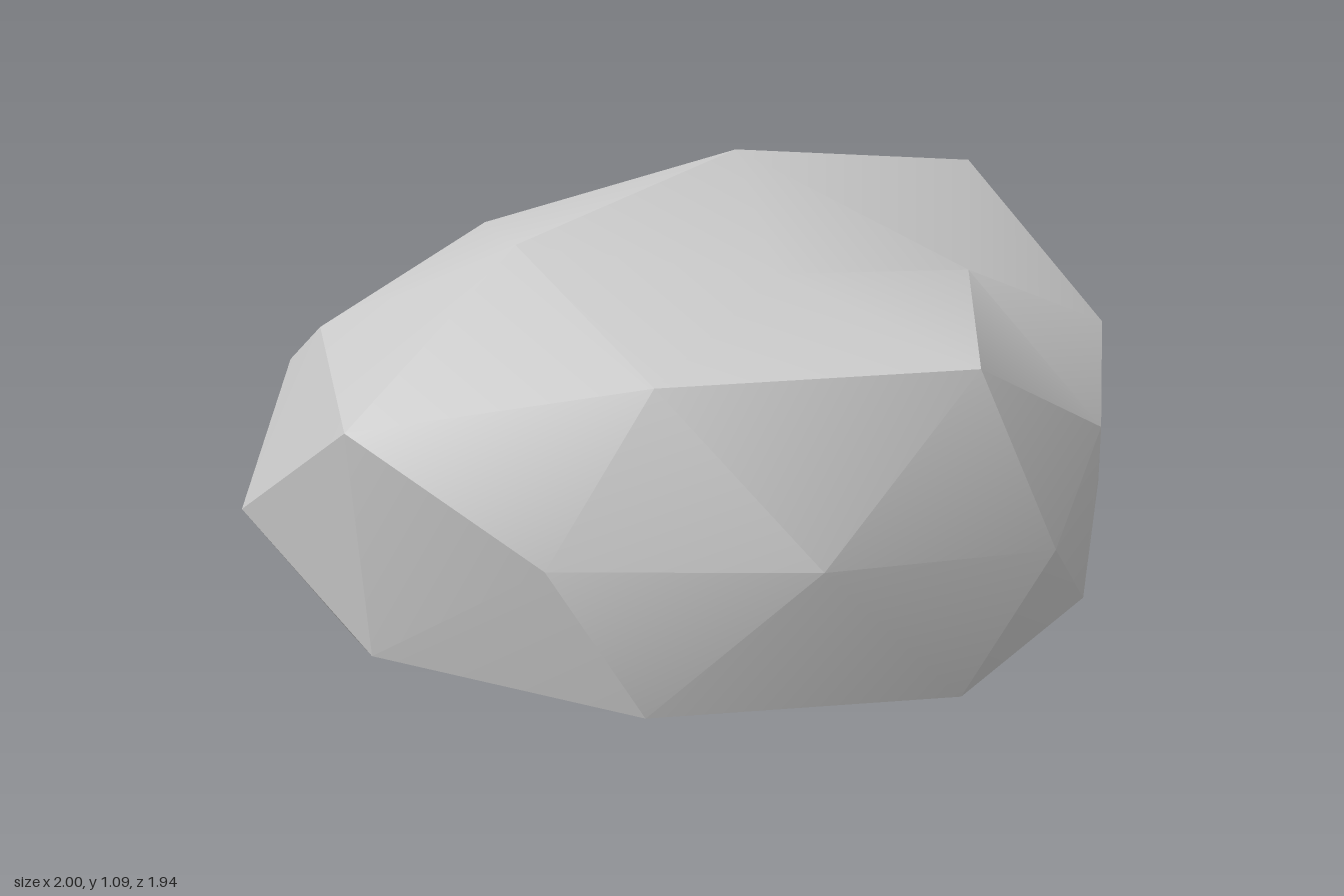
import * as THREE from 'three';
import { toCreasedNormals } from 'three/addons/utils/BufferGeometryUtils.js';

// Radius of each sphere vertex, by family and by octant.
// Octant order (signs of x y z): +++ ++- +-+ +-- -++ -+- --+ ---
const RADII = {
  // six vertices on the axes
  axisX: { 0: 0.782, 4: 0.996 },
  axisY: { 0: 1.006, 2: 0.7 },
  axisZ: { 0: 0.882, 1: 1.062 },
  // twelve corners, named by their zero component
  flatX: { 0: 0.82, 1: 0.99, 2: 0.9, 3: 0.9 },
  flatY: { 0: 0.881, 1: 1.123, 4: 0.915, 5: 0.995 },
  flatZ: { 0: 0.92, 2: 0.794, 4: 0.982, 6: 0.92 },
  // twenty-four edge midpoints, named by their largest component
  nearX: [0.81, 0.917, 0.78, 0.965, 1.005, 1.09, 0.95, 0.96],
  nearY: [0.84, 1.168, 0.9, 0.9, 0.955, 0.96, 0.9, 0.9],
  nearZ: [0.98, 1.0, 0.93, 1.075, 0.9, 1.014, 0.99, 1.035],
};

const CENTRE = new THREE.Vector3(0.12, 0.3, 0.09);
const STRETCH = new THREE.Vector3(1.125, 0.785, 1);

function radiusOf(d) {
  const c = [d.x, d.y, d.z];
  const size = c.map(Math.abs);
  const zeros = size.filter((s) => s < 0.01).length;
  const largest = 'XYZ'[size.indexOf(Math.max(...size))];
  const smallest = 'XYZ'[size.indexOf(Math.min(...size))];
  const octant = c.reduce((bits, v) => bits * 2 + (v < -0.01 ? 1 : 0), 0);
  const family = zeros === 2 ? 'axis' + largest : zeros === 1 ? 'flat' + smallest : 'near' + largest;
  return RADII[family][octant];
}

export function createModel() {
  const group = new THREE.Group();
  group.name = 'rock';

  const stone = new THREE.MeshStandardMaterial({ color: 0xc8c8c8 });
  stone.name = 'pale stone grey';

  // Once-divided icosahedron, pushed in and out, stretched and cut flat below
  const geometry = new THREE.IcosahedronGeometry(1, 1);
  geometry.rotateY(Math.PI / 2);
  geometry.deleteAttribute('uv');
  const position = geometry.attributes.position;
  const round = (v) => Math.round(v * 1000) / 1000;
  const p = new THREE.Vector3();
  for (let i = 0; i < position.count; i++) {
    p.fromBufferAttribute(position, i);
    p.multiplyScalar(radiusOf(p)).multiply(STRETCH).add(CENTRE);
    position.setXYZ(i, round(p.x), Math.max(0, round(p.y)), round(p.z));
  }

  // Soft facets with sharp edges at the steeper breaks
  const boulder = new THREE.Mesh(toCreasedNormals(geometry, Math.PI / 6.4), stone);
  boulder.name = 'boulder';
  group.add(boulder);
  return group;
}
